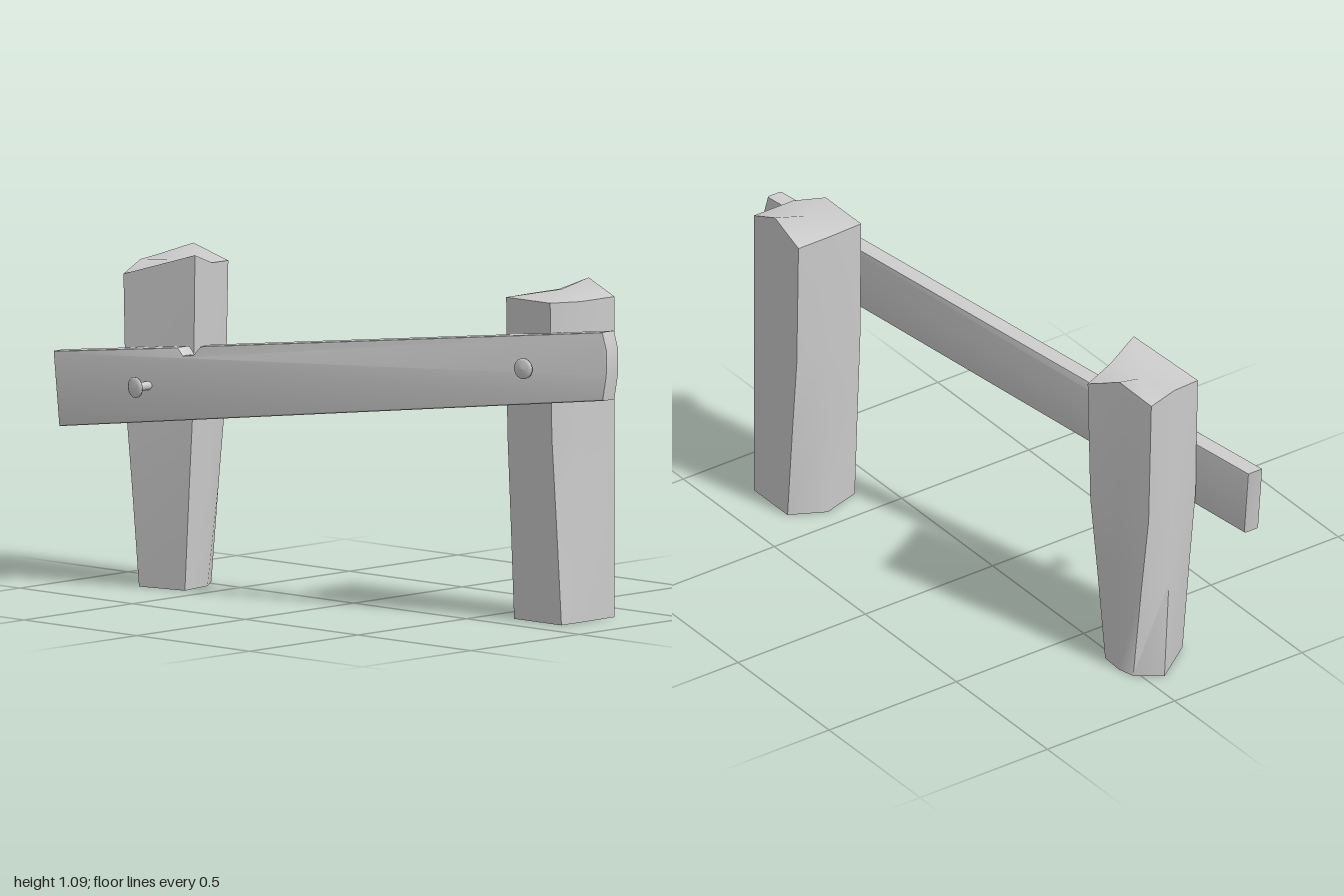
import * as THREE from 'three';
import { toCreasedNormals } from 'three/addons/utils/BufferGeometryUtils.js';

const material = new THREE.MeshStandardMaterial({ color: 0xcccccc });

function addMesh(group, name, geometry) {
  const mesh = new THREE.Mesh(geometry, material);
  mesh.name = name;
  group.add(mesh);
  return mesh;
}

// Rough-hewn post: each corner is [bottomX, bottomZ, topX, topZ, topY], counterclockwise from above
function postGeometry(corners, centreY) {
  const n = corners.length;
  const verts = [];
  const index = [];
  const rows = [[0, 0], [0.32, 0.45], [0.58, 0.85], [1, 1]]; // height fraction, blend to top outline
  for (const [h, t] of rows) {
    for (const [bx, bz, tx, tz, ty] of corners) {
      verts.push(THREE.MathUtils.lerp(bx, tx, t), h * ty, THREE.MathUtils.lerp(bz, tz, t));
    }
  }
  const mean = (k) => corners.reduce((sum, c) => sum + c[k], 0) / n;
  const bottom = verts.length / 3;
  verts.push(mean(0), 0, mean(1), mean(2), centreY, mean(3));
  const top = bottom + 1;
  for (let i = 0; i < n; i++) {
    const j = (i + 1) % n;
    for (let r = 0; r < rows.length - 1; r++) {
      const a = r * n + i, b = r * n + j;
      index.push(a, b, b + n, a, b + n, a + n);
    }
    const last = (rows.length - 1) * n;
    index.push(bottom, j, i, top, last + i, last + j);
  }
  const geometry = new THREE.BufferGeometry();
  geometry.setAttribute('position', new THREE.Float32BufferAttribute(verts, 3));
  geometry.setIndex(index);
  return toCreasedNormals(geometry, 0.95);
}

// Sloping plank with a notch in its top edge; outline is given as (z, y)
function railGeometry() {
  const outline = [
    [-0.97, 0.51], [0.99, 0.74], [1.0, 0.82], [0.998, 0.9], [0.98, 0.96],
    [-0.47, 0.805], [-0.495, 0.775], [-0.53, 0.77], [-0.55, 0.795], [-1, 0.75],
  ];
  const bevel = 0.007;
  const shape = new THREE.Shape(outline.map(([z, y]) => new THREE.Vector2(-z, y)));
  const geometry = new THREE.ExtrudeGeometry(shape, {
    depth: 0.058 - 2 * bevel, bevelEnabled: true, bevelSize: bevel,
    bevelOffset: -bevel, bevelThickness: bevel, bevelSegments: 2,
  });
  geometry.translate(0, 0, -0.029 + bevel);
  geometry.rotateY(Math.PI / 2);
  // Shear so the plank runs diagonally and leans slightly
  const p = geometry.attributes.position;
  for (let i = 0; i < p.count; i++) {
    const z = p.getZ(i);
    const middle = 0.735 + 0.11 * z;
    p.setX(i, p.getX(i) - 0.085 + 0.24 * z + 0.05 * (p.getY(i) - middle));
  }
  return toCreasedNormals(geometry, 0.6);
}

// Nail: shank starting inside the plank, flaring to a domed head
function nailGeometry(length) {
  const profile = [
    [0, -0.03], [0.014, -0.03], [0.014, length - 0.02], [0.019, length - 0.013],
    [0.033, length - 0.008], [0.034, length - 0.002], [0.024, length + 0.004], [0, length + 0.007],
  ];
  return new THREE.LatheGeometry(profile.map(([x, y]) => new THREE.Vector2(x, y)), 16);
}

export function createModel() {
  const group = new THREE.Group();

  addMesh(group, 'frontPost', postGeometry([
    [0.105, 0.82, 0.105, 0.77, 1.035],
    [0.2, 0.82, 0.2, 0.815, 1.035],
    [0.355, 0.815, 0.355, 0.815, 1.035],
    [0.355, 0.7, 0.355, 0.7, 1.085],
    [0.355, 0.63, 0.355, 0.57, 1.035],
    [0.24, 0.57, 0.23, 0.57, 1.035],
    [0.105, 0.61, 0.105, 0.575, 1.035],
  ], 1.058));

  addMesh(group, 'backPost', postGeometry([
    [-0.175, -0.58, -0.163, -0.547, 1.085],
    [-0.05, -0.6, -0.045, -0.585, 1.045],
    [0.03, -0.66, 0.077, -0.63, 1.035],
    [0.035, -0.74, 0.035, -0.745, 1.085],
    [0.02, -0.8, -0.005, -0.865, 1.04],
    [-0.06, -0.86, -0.12, -0.83, 1.04],
    [-0.21, -0.75, -0.245, -0.785, 1.01],
  ], 1.045));

  addMesh(group, 'rail', railGeometry());

  // Nails on the outer face of the rail: position, direction, length
  const nails = [
    ['frontNail', [0.057, 0.825, 0.71], [-1, 0, 0.2], 0.022],
    ['backNail', [-0.27, 0.665, -0.652], [-1, -0.02, -0.1], 0.058],
  ];
  const up = new THREE.Vector3(0, 1, 0);
  for (const [name, position, direction, length] of nails) {
    const nail = addMesh(group, name, nailGeometry(length));
    nail.position.set(...position);
    nail.quaternion.setFromUnitVectors(up, new THREE.Vector3(...direction).normalize());
  }
  return group;
}
